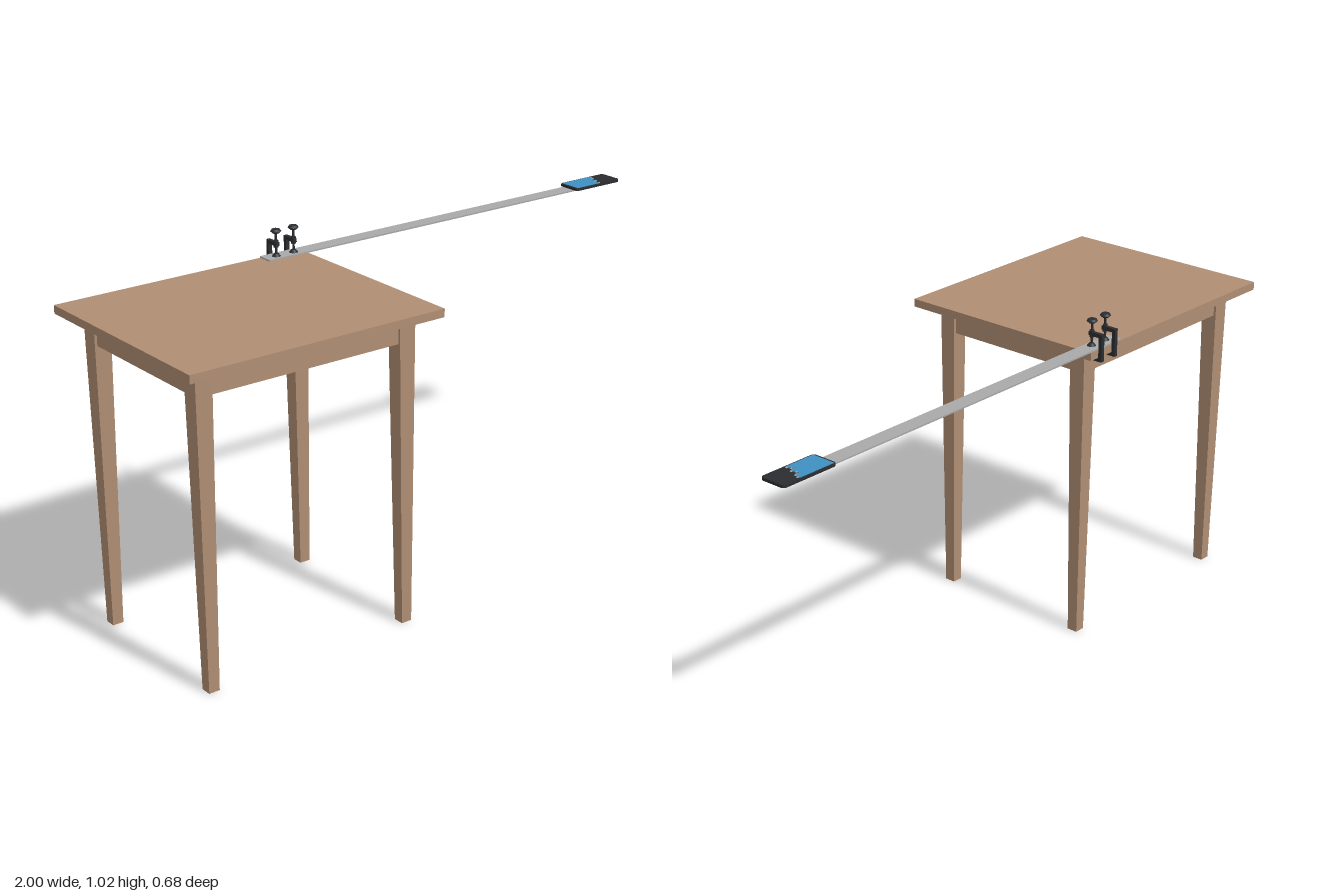
import * as THREE from 'three';

const mat = (name, color) => {
  const m = new THREE.MeshStandardMaterial({ color });
  m.name = name;
  return m;
};

export function createModel() {
  const wood = mat('wood', 0xb08e73);
  const steel = mat('steel', 0xa9a9a9);
  const black = mat('black', 0x2b2d30);
  const blue = mat('blue', 0x3f90c2);
  const root = new THREE.Group();
  root.name = 'tableWithClampedRuler';

  const add = (parent, name, geo, material) => {
    const mesh = new THREE.Mesh(geo, material);
    mesh.name = name;
    parent.add(mesh);
    return mesh;
  };
  // Box given by its minimum and maximum on each axis
  const box = (parent, name, x0, x1, y0, y1, z0, z1, material) => {
    const mesh = add(parent, name, new THREE.BoxGeometry(x1 - x0, y1 - y0, z1 - z0), material);
    mesh.position.set((x0 + x1) / 2, (y0 + y1) / 2, (z0 + z1) / 2);
    return mesh;
  };
  const cylinder = (parent, name, r0, r1, y0, y1, z, sides, material) => {
    const mesh = add(parent, name, new THREE.CylinderGeometry(r1, r0, y1 - y0, sides), material);
    mesh.position.set(0, (y0 + y1) / 2, z);
    return mesh;
  };

  // Table
  const table = new THREE.Group();
  table.name = 'table';
  root.add(table);
  box(table, 'tableTop', -1, -0.202, 0.911, 0.935, -0.326, 0.343, wood);

  // Tapered legs, with an angle bracket on the inside of each corner
  for (const [x, sx] of [[-0.922, 1], [-0.279, -1]]) {
    for (const [z, sz] of [[-0.237, 1], [0.256, -1]]) {
      const legGeo = new THREE.BoxGeometry(0.052, 0.911, 0.052);
      const p = legGeo.attributes.position;
      for (let i = 0; i < p.count; i++) {
        if (p.getY(i) < 0) p.setXYZ(i, p.getX(i) * 0.63, p.getY(i), p.getZ(i) * 0.63);
      }
      legGeo.computeVertexNormals();
      add(table, 'leg', legGeo, wood).position.set(x, 0.4555, z);

      const bracket = new THREE.Group();
      bracket.name = 'cornerBracket';
      bracket.position.set(x, 0, z);
      bracket.scale.set(sx, 1, sz);
      box(bracket, 'bracketFlange', 0.012, 0.095, 0.852, 0.905, 0.004, 0.010, black);
      box(bracket, 'bracketFlange', 0.004, 0.010, 0.852, 0.905, 0.012, 0.095, black);
      const web = box(bracket, 'bracketWeb', -0.052, 0.052, 0.852, 0.905, -0.003, 0.003, black);
      web.position.set(0.045, 0.8785, 0.045);
      web.rotation.y = Math.PI / 4;
      table.add(bracket);
    }
  }

  // Apron rails between the legs
  for (const z of [-0.245, 0.264]) box(table, 'apronRail', -0.9, -0.3, 0.838, 0.911, z - 0.01, z + 0.01, wood);
  for (const x of [-0.93, -0.271]) box(table, 'apronRail', x - 0.01, x + 0.01, 0.838, 0.911, -0.215, 0.235, wood);

  // Long thin bar reaching out beyond the table
  box(root, 'bar', -0.338, 0.99, 0.9355, 0.940, -0.326, -0.278, steel);

  // Two C-clamps holding the bar on the table edge
  for (const x of [-0.3, -0.24]) {
    const clamp = new THREE.Group();
    clamp.name = 'clamp';
    clamp.position.x = x;
    root.add(clamp);
    const frame = new THREE.Shape();
    [[0.338, 0.9], [0.338, 0.982], [0.29, 0.982], [0.29, 0.971], [0.327, 0.971],
      [0.327, 0.911], [0.29, 0.911], [0.29, 0.9]].forEach(([u, v], i) => {
      if (i) frame.lineTo(u, v); else frame.moveTo(u, v);
    });
    const frameMesh = add(clamp, 'clampFrame',
      new THREE.ExtrudeGeometry(frame, { depth: 0.012, bevelEnabled: false }), black);
    frameMesh.rotation.y = Math.PI / 2;
    frameMesh.position.x = -0.006;
    cylinder(clamp, 'screw', 0.0035, 0.0035, 0.942, 1.015, -0.298, 12, black);
    cylinder(clamp, 'pressurePad', 0.013, 0.007, 0.940, 0.948, -0.298, 16, black);
    cylinder(clamp, 'screwCollar', 0.007, 0.007, 0.966, 0.987, -0.298, 12, black);
    cylinder(clamp, 'knob', 0.009, 0.016, 1.008, 1.014, -0.298, 12, black);
    cylinder(clamp, 'knobCap', 0.016, 0.012, 1.014, 1.02, -0.298, 12, black);
  }

  // Flat rounded device lying on the far end
  const device = new THREE.Group();
  device.name = 'device';
  root.add(device);
  const [x0, x1, z0, z1, r] = [0.818, 1, 0.26, 0.341, 0.012];
  const body = new THREE.Shape();
  body.moveTo(x0 + r, z0);
  body.lineTo(x1 - r, z0);
  body.quadraticCurveTo(x1, z0, x1, z0 + r);
  body.lineTo(x1, z1 - r);
  body.quadraticCurveTo(x1, z1, x1 - r, z1);
  body.lineTo(x0 + r, z1);
  body.quadraticCurveTo(x0, z1, x0, z1 - r);
  body.lineTo(x0, z0 + r);
  body.quadraticCurveTo(x0, z0, x0 + r, z0);
  const bodyMesh = add(device, 'deviceBody',
    new THREE.ExtrudeGeometry(body, { depth: 0.008, bevelEnabled: false }), black);
  bodyMesh.rotation.x = -Math.PI / 2;
  bodyMesh.position.y = 0.940;

  // Blue panel with a stepped edge and a row of small grey marks
  const rows = 6;
  const edges = [0.918, 0.914, 0.926, 0.921, 0.935, 0.94];
  const step = 0.073 / rows;
  for (let i = 0; i < rows; i++) {
    const z = -0.264 - i * step;
    box(device, 'screenStrip', 0.824, edges[i], 0.947, 0.949, z - step, z, blue);
    box(device, 'screenMark', edges[i], edges[i] + 0.006, 0.947, 0.949, z - step * 0.75, z - step * 0.25, steel);
  }
  return root;
}
